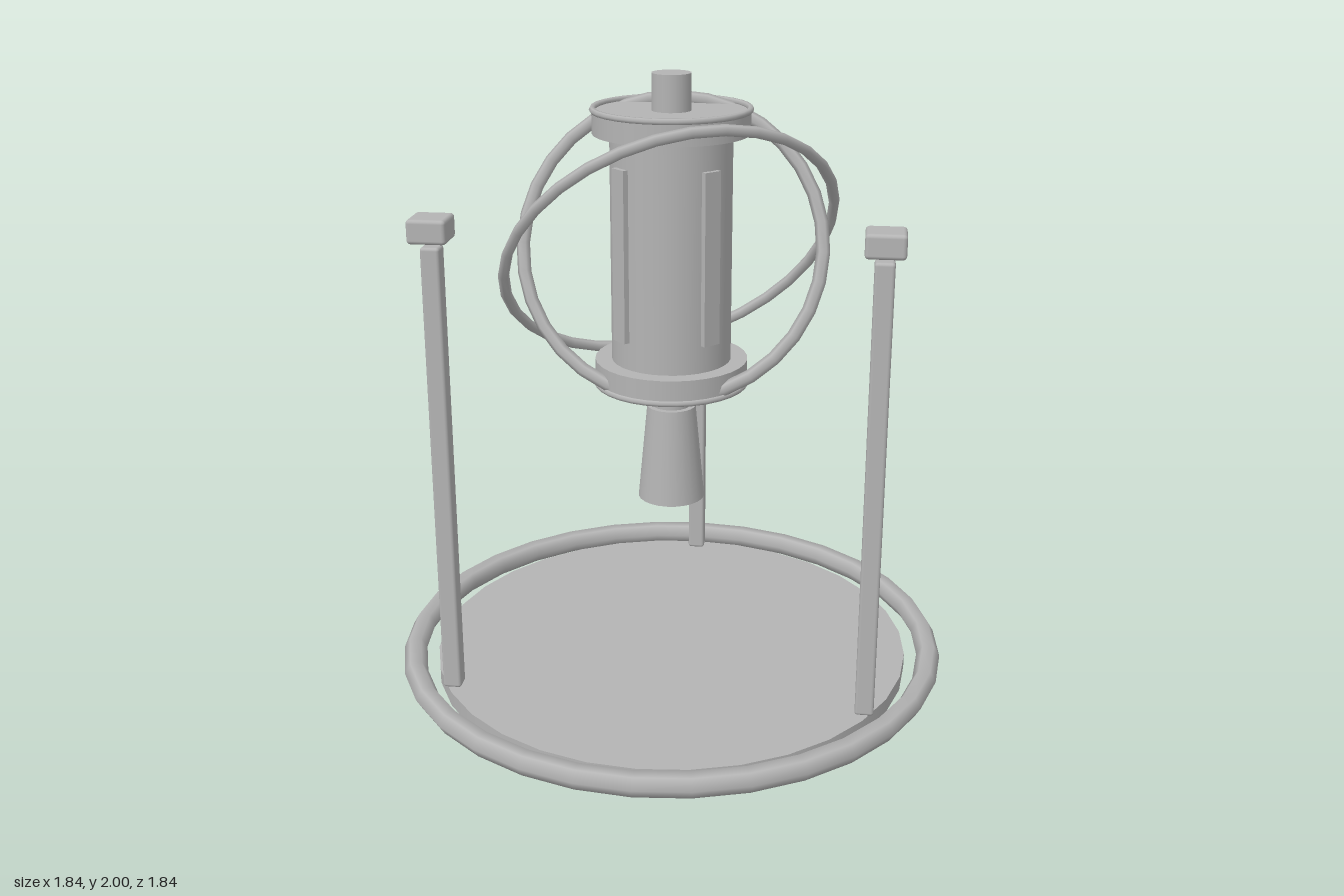
import * as THREE from 'three';
import { RoundedBoxGeometry } from 'three/addons/geometries/RoundedBoxGeometry.js';

export function createModel() {
  const model = new THREE.Group();
  const grey = new THREE.MeshStandardMaterial({ color: 0xb4b4b4 });
  grey.name = 'plain grey';

  const add = (name, geometry, x = 0, y = 0, z = 0) => {
    const mesh = new THREE.Mesh(geometry, grey);
    mesh.name = name;
    mesh.position.set(x, y, z);
    model.add(mesh);
    return mesh;
  };
  // Upright cylinder or cone given by its bottom and top heights
  const column = (name, rTop, rBottom, y0, y1, sides) =>
    add(name, new THREE.CylinderGeometry(rTop, rBottom, y1 - y0, sides), 0, (y0 + y1) / 2, 0);
  const ring = (name, radius, tube, y, rx, ry = 0) => {
    const mesh = add(name, new THREE.TorusGeometry(radius, tube, 6, 32), 0, y, 0);
    mesh.rotation.set(rx, ry, 0);
    return mesh;
  };

  // Base plate with its surrounding ring
  column('basePlate', 0.8, 0.8, 0, 0.05, 32);
  ring('baseRing', 0.88, 0.039, 0.052, Math.PI / 2);

  // Three capped posts around the plate
  for (let i = 0; i < 3; i++) {
    const a = Math.PI / 6 + (i * Math.PI * 2) / 3;
    const x = 0.773 * Math.cos(a), z = 0.773 * Math.sin(a);
    add('post', new RoundedBoxGeometry(0.06, 1.48, 0.06, 2, 0.01), x, 0.79, z);
    add('postCap', new RoundedBoxGeometry(0.12, 0.075, 0.12, 2, 0.012), x, 1.583, z);
  }

  // Floating core: nozzle, neck, body and top knob
  column('nozzle', 0.08, 0.11, 0.6, 0.92, 24);
  column('neck', 0.062, 0.062, 0.91, 1.02, 20);
  column('coreBody', 0.193, 0.193, 1.05, 1.85, 32);
  column('topKnob', 0.062, 0.062, 1.87, 2, 20);

  // Flanges with thin rims at both ends of the body
  for (const s of [-1, 1]) {
    const mid = 1.45 + s * 0.4;
    column('flange', 0.247, 0.247, mid - 0.035, mid + 0.035, 32);
    ring('flangeRim', 0.245, 0.01, 1.45 + s * 0.44, Math.PI / 2);
  }

  // Four slim panels on the diagonals of the body
  for (let i = 0; i < 4; i++) {
    const a = Math.PI / 4 + (i * Math.PI) / 2;
    const panel = add('sidePanel', new THREE.BoxGeometry(0.06, 0.55, 0.02),
      0.198 * Math.sin(a), 1.45, 0.198 * Math.cos(a));
    panel.rotation.y = a;
  }

  // Two tilted rings circling the core
  ring('innerOrbitRing', 0.48, 0.022, 1.45, -0.35);
  ring('outerOrbitRing', 0.543, 0.018, 1.45, 0.726, 0.375);

  return model;
}
